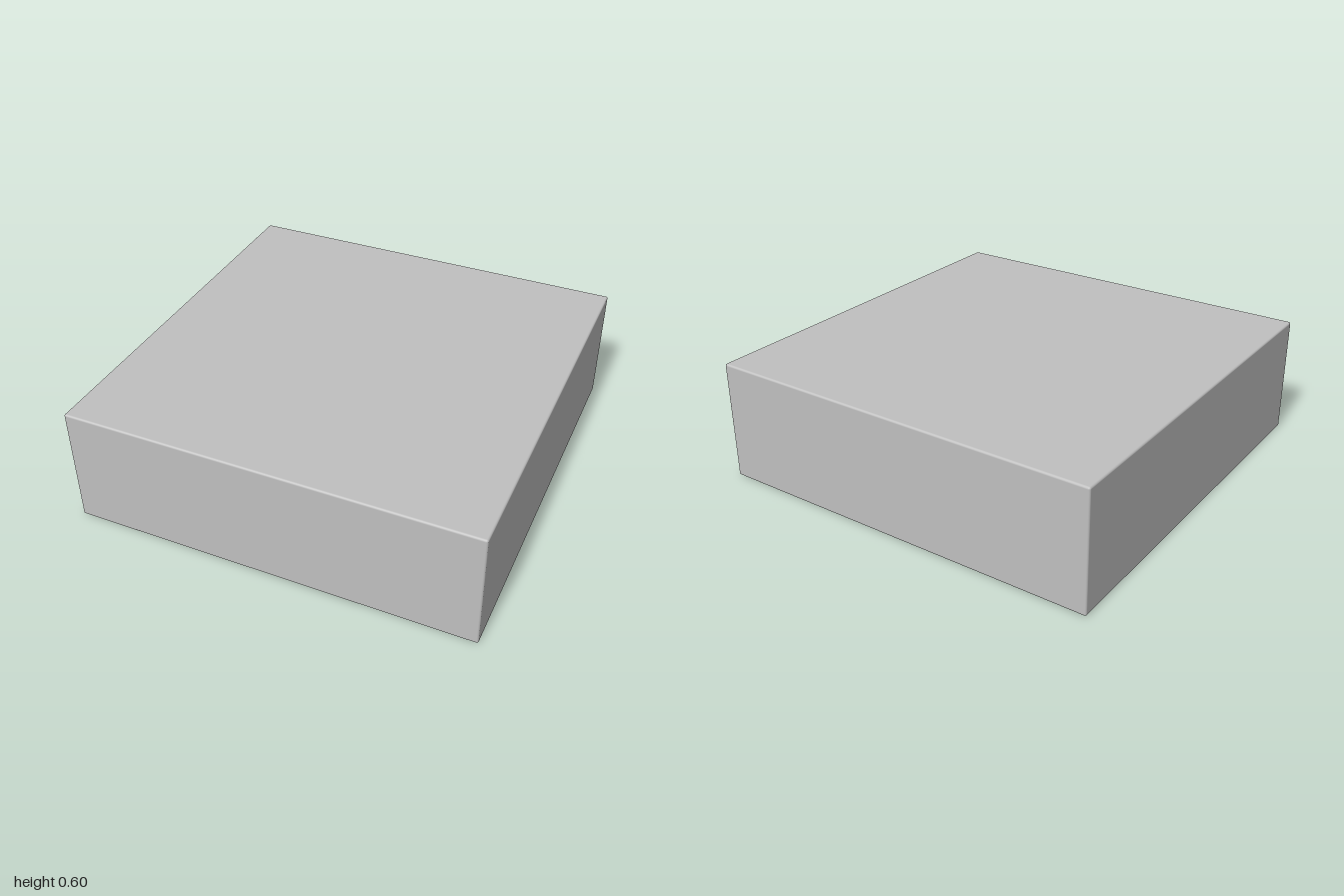
import * as THREE from 'three';
import { RoundedBoxGeometry } from 'three/addons/geometries/RoundedBoxGeometry.js';

const HEIGHT = 0.6, FILLET = 0.01;
const POCKET = 0.6, POCKET_DEPTH = 0.55;
const PIN_RADIUS = 0.024, PIN_OFFSET = 0.8, PIN_DEPTH = 0.2;
const BORE_RADIUS = 0.046, BORE_DEPTH = 0.2, BORE_Y = POCKET_DEPTH / 2;

const grey = new THREE.MeshStandardMaterial({ color: 0xc0c0c0, side: THREE.DoubleSide });
grey.name = 'light grey';

function add(parent, name, geometry) {
  const mesh = new THREE.Mesh(geometry, grey);
  mesh.name = name;
  parent.add(mesh);
  return mesh;
}

// Rectangle centred on the origin, with optional rounded corners
function rectangle(w, h, r = 0) {
  const s = new THREE.Shape();
  const x = w / 2, y = h / 2;
  if (!r) {
    s.moveTo(-x, -y).lineTo(x, -y).lineTo(x, y).lineTo(-x, y).closePath();
    return s;
  }
  s.absarc(x - r, y - r, r, 0, Math.PI / 2);
  s.absarc(-x + r, y - r, r, Math.PI / 2, Math.PI);
  s.absarc(-x + r, -y + r, r, Math.PI, Math.PI * 1.5);
  s.absarc(x - r, -y + r, r, Math.PI * 1.5, Math.PI * 2);
  s.closePath();
  return s;
}

function circle(x, y, r) {
  const p = new THREE.Path();
  p.absarc(x, y, r, 0, Math.PI * 2, true);
  return p;
}

// Blind hole: mouth at the origin, running up +y
function blindHole(name, radius, depth) {
  const hole = new THREE.Group();
  hole.name = name;
  add(hole, name + 'Wall', new THREE.CylinderGeometry(radius, radius, depth, 32, 1, true))
    .position.y = depth / 2;
  const end = add(hole, name + 'End', new THREE.CircleGeometry(radius, 32));
  end.rotation.x = Math.PI / 2;
  end.position.y = depth;
  return hole;
}

// Filleted outer block with its flat bottom left open
function shellGeometry() {
  const box = new RoundedBoxGeometry(2, HEIGHT, 2, 4, FILLET).toNonIndexed();
  box.translate(0, HEIGHT / 2, 0);
  const pos = box.attributes.position, nor = box.attributes.normal;
  const p = [], n = [];
  for (let i = 0; i < pos.count; i += 3) {
    if (Math.max(pos.getY(i), pos.getY(i + 1), pos.getY(i + 2)) < 1e-5) continue;
    for (let k = i; k < i + 3; k++) {
      p.push(pos.getX(k), pos.getY(k), pos.getZ(k));
      n.push(nor.getX(k), nor.getY(k), nor.getZ(k));
    }
  }
  const g = new THREE.BufferGeometry();
  g.setAttribute('position', new THREE.Float32BufferAttribute(p, 3));
  g.setAttribute('normal', new THREE.Float32BufferAttribute(n, 3));
  return g;
}

export function createModel() {
  const model = new THREE.Group();
  model.name = 'hollowBlock';
  add(model, 'outerShell', shellGeometry());

  // Underside frame, pierced by the pocket and four pin holes
  const frame = rectangle(2 - 2 * FILLET, 2 - 2 * FILLET);
  frame.holes.push(rectangle(POCKET * 2, POCKET * 2, FILLET));
  for (let i = 0; i < 4; i++) {
    const a = i * Math.PI / 2;
    frame.holes.push(circle(PIN_OFFSET * Math.cos(a), PIN_OFFSET * Math.sin(a), PIN_RADIUS));
  }
  add(model, 'undersideFrame', new THREE.ShapeGeometry(frame, 24)).rotation.x = Math.PI / 2;

  // Pocket ceiling
  const ceiling = add(model, 'pocketCeiling',
    new THREE.ShapeGeometry(rectangle(POCKET * 2, POCKET * 2, FILLET), 8));
  ceiling.rotation.x = Math.PI / 2;
  ceiling.position.y = POCKET_DEPTH;

  // Four identical sides: bored wall, corner fillet, side bore and pin hole
  const wallShape = rectangle(2 * (POCKET - FILLET), POCKET_DEPTH);
  wallShape.holes.push(circle(0, BORE_Y - POCKET_DEPTH / 2, BORE_RADIUS));
  const wallGeometry = new THREE.ShapeGeometry(wallShape, 24);
  const cornerGeometry = new THREE.CylinderGeometry(
    FILLET, FILLET, POCKET_DEPTH, 8, 1, true, 0, Math.PI / 2);

  for (let i = 0; i < 4; i++) {
    const side = new THREE.Group();
    side.name = 'pocketSide' + (i + 1);
    side.rotation.y = i * Math.PI / 2;

    const wall = add(side, 'pocketWall', wallGeometry);
    wall.rotation.y = Math.PI;
    wall.position.set(0, POCKET_DEPTH / 2, POCKET);

    add(side, 'pocketCorner', cornerGeometry)
      .position.set(POCKET - FILLET, POCKET_DEPTH / 2, POCKET - FILLET);

    const bore = blindHole('sideBore', BORE_RADIUS, BORE_DEPTH);
    bore.rotation.x = Math.PI / 2;
    bore.position.set(0, BORE_Y, POCKET);
    side.add(bore);

    const pin = blindHole('pinHole', PIN_RADIUS, PIN_DEPTH);
    pin.position.z = PIN_OFFSET;
    side.add(pin);

    model.add(side);
  }
  return model;
}
